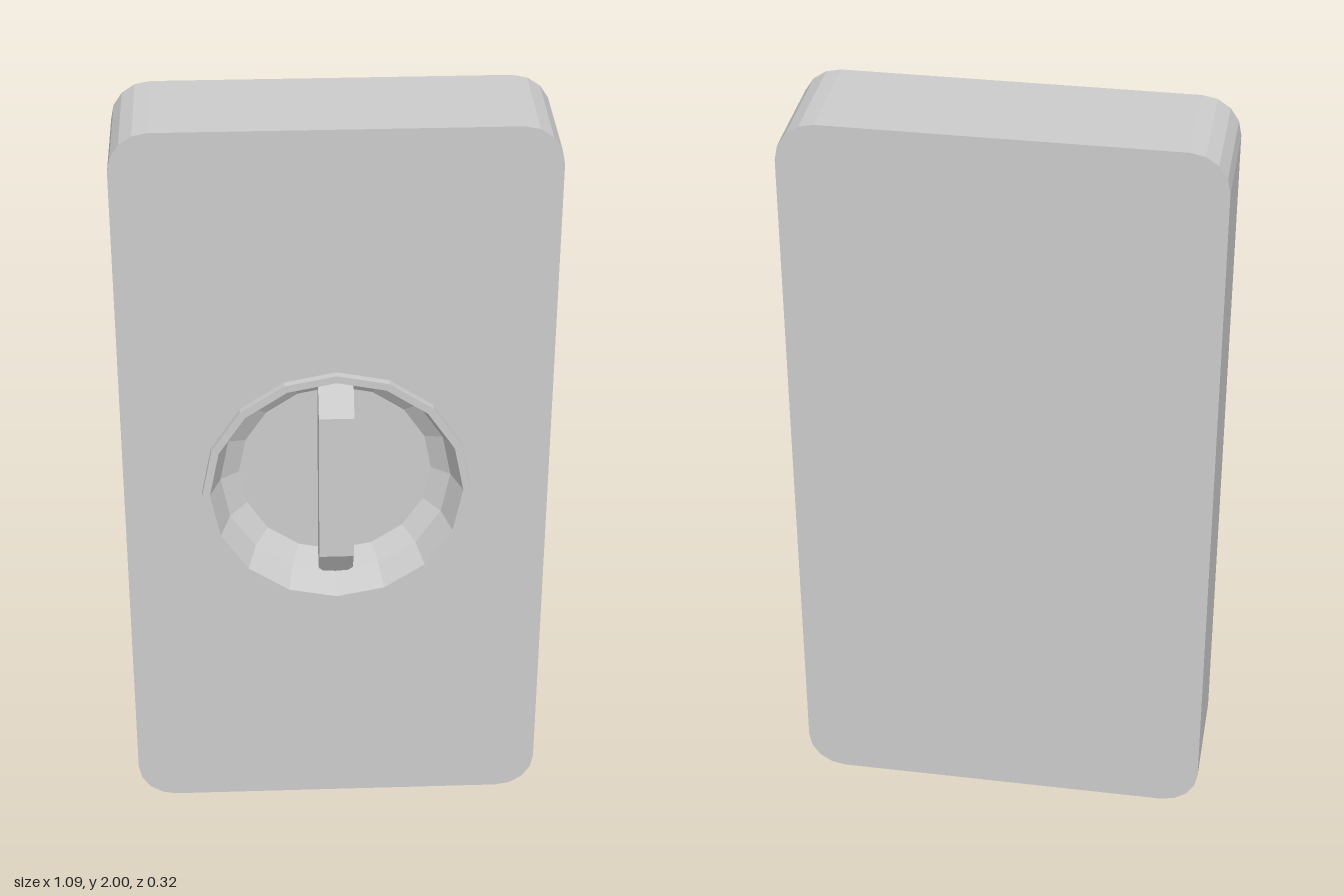
import * as THREE from 'three';
import { ConvexGeometry } from 'three/addons/geometries/ConvexGeometry.js';

const W = 0.545, H = 1, R = 0.1;           // half width, half height, corner radius
const FRONT = 0.142, BACK = -0.162;
const DIAL_Y = 0.995, DIAL_R = 0.345, SIDES = 16;

const material = new THREE.MeshStandardMaterial({ color: 0xcccccc, flatShading: true });

function addMesh(parent, name, geometry) {
  const mesh = new THREE.Mesh(geometry, material);
  mesh.name = name;
  parent.add(mesh);
  return mesh;
}

// Rounded rectangle, counter-clockwise, four facets per corner
function outlinePoints() {
  const pts = [];
  [[1, 1], [-1, 1], [-1, -1], [1, -1]].forEach(([sx, sy], q) => {
    for (let i = 0; i <= 4; i++) {
      const a = (q + i / 4) * Math.PI / 2;
      pts.push(new THREE.Vector2(sx * (W - R) + R * Math.cos(a), H + sy * (H - R) + R * Math.sin(a)));
    }
  });
  return pts;
}

// Side wall joining the front and back panels
function wallGeometry(pts) {
  const v = [];
  pts.forEach((p, i) => {
    const q = pts[(i + 1) % pts.length];
    v.push(p.x, p.y, BACK, q.x, q.y, BACK, q.x, q.y, FRONT);
    v.push(p.x, p.y, BACK, q.x, q.y, FRONT, p.x, p.y, FRONT);
  });
  const g = new THREE.BufferGeometry();
  g.setAttribute('position', new THREE.Float32BufferAttribute(v, 3));
  g.computeVertexNormals();
  return g;
}

export function createModel() {
  const model = new THREE.Group();
  model.name = 'turnPlate';

  // Body: front panel with round opening, back panel and wall
  const body = new THREE.Group();
  body.name = 'body';
  model.add(body);
  const pts = outlinePoints();
  const frontShape = new THREE.Shape(pts);
  const hole = [];
  for (let i = 0; i < SIDES; i++) {
    const a = -i * 2 * Math.PI / SIDES;
    hole.push(new THREE.Vector2(DIAL_R * Math.cos(a), DIAL_Y + DIAL_R * Math.sin(a)));
  }
  frontShape.holes.push(new THREE.Path(hole));
  addMesh(body, 'frontPanel', new THREE.ShapeGeometry(frontShape)).position.z = FRONT;
  const back = addMesh(body, 'backPanel', new THREE.ShapeGeometry(new THREE.Shape(pts)));
  back.rotation.y = Math.PI;
  back.position.z = BACK;
  addMesh(body, 'sideWall', wallGeometry(pts));

  // Raised rim running into the sunken bowl
  const profile = [
    [DIAL_R, FRONT], [DIAL_R, 0.162], [0.325, 0.162],
    [0.298, 0.085], [0.25, 0.05], [0, 0.05],
  ].map(([r, z]) => new THREE.Vector2(r, z));
  const bowl = addMesh(model, 'rimAndBowl', new THREE.LatheGeometry(profile, SIDES));
  bowl.rotation.x = Math.PI / 2;
  bowl.position.y = DIAL_Y;

  // Upright grip bar with sloped, tapered ends
  const grip = [];
  for (const sx of [-1, 1]) for (const sy of [-1, 1]) {
    for (const [x, y, z] of [
      [0.045, 0.21, 0.145], [0.045, 0.275, 0.1], [0.02, 0.315, 0.072],
      [0.045, 0.275, 0.045], [0.02, 0.315, 0.045],
    ]) grip.push(new THREE.Vector3(sx * x, sy * y, z));
  }
  addMesh(model, 'gripBar', new ConvexGeometry(grip)).position.y = DIAL_Y;

  return model;
}
